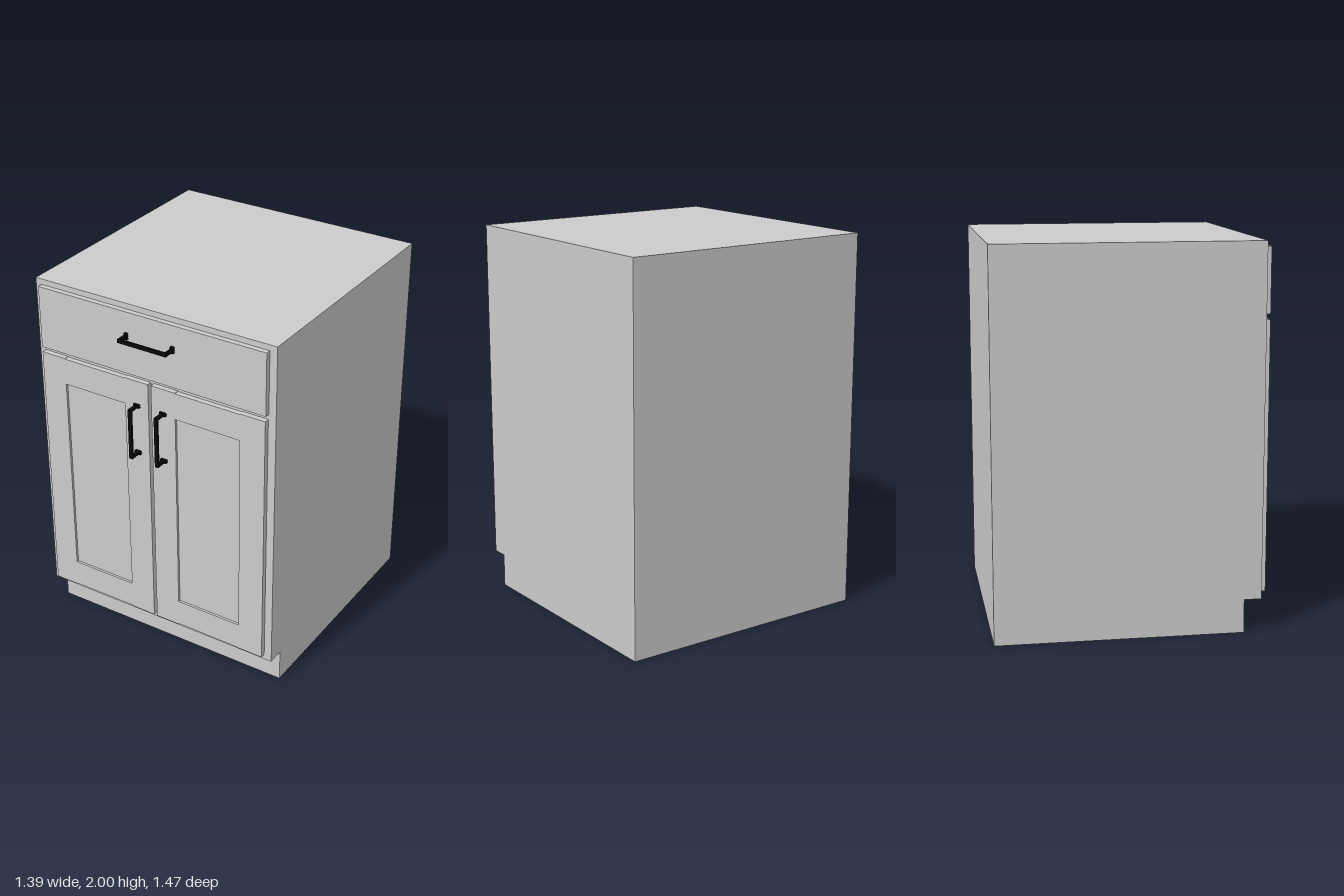
import * as THREE from 'three';

const grey = new THREE.MeshStandardMaterial({ color: 0xcccccc });
const black = new THREE.MeshStandardMaterial({ color: 0x0a0a0a });

const FACE = 0.636;   // front plane of the carcass
const FRONT = 0.664;  // front plane of doors and drawer

// Box given by its limits on each axis
function slab(name, [x0, x1], [y0, y1], [z0, z1], material = grey) {
  const mesh = new THREE.Mesh(new THREE.BoxGeometry(x1 - x0, y1 - y0, z1 - z0), material);
  mesh.position.set((x0 + x1) / 2, (y0 + y1) / 2, (z0 + z1) / 2);
  mesh.name = name;
  return mesh;
}

// Side profile with the toe kick, extruded across the width
function carcass() {
  const shape = new THREE.Shape();
  [[-0.734, 0], [0.546, 0], [0.546, 0.175], [FACE, 0.175], [FACE, 2], [-0.734, 2]]
    .forEach(([z, y], i) => (i ? shape.lineTo(-z, y) : shape.moveTo(-z, y)));
  const geometry = new THREE.ExtrudeGeometry(shape, { depth: 1.39, bevelEnabled: false });
  geometry.translate(0, 0, -0.695).rotateY(Math.PI / 2);
  const mesh = new THREE.Mesh(geometry, grey);
  mesh.name = 'carcass';
  return mesh;
}

// Framed door: two full-height stiles, two rails and a recessed panel
function door(name, x0, x1) {
  const group = new THREE.Group();
  group.name = name;
  const y0 = 0.205, y1 = 1.607, stile = 0.14, z = [FACE, FRONT];
  const a = x0 + stile, b = x1 - stile;
  group.add(
    slab('outerStile', [x0, a], [y0, y1], z),
    slab('innerStile', [b, x1], [y0, y1], z),
    slab('bottomRail', [a, b], [y0 + 0.003, 0.355], z),
    slab('topRail', [a, b], [1.46, y1 - 0.003], z),
    slab('recessedPanel', [a, b], [0.355, 1.46], [FACE, FRONT - 0.013]),
  );
  return group;
}

// Bar pull along x: grip, two posts and their wider feet
function handle(name, x, y, vertical) {
  const group = new THREE.Group();
  group.name = name;
  group.add(slab('grip', [-0.14, 0.14], [-0.01, 0.01], [0.058, 0.07], black));
  for (const s of [-1, 1]) {
    const c = s * 0.134;
    group.add(
      slab('post', [c - 0.006, c + 0.006], [-0.01, 0.01], [0, 0.06], black),
      slab('foot', [c - 0.009, c + 0.009], [-0.017, 0.017], [0, 0.014], black),
    );
  }
  group.position.set(x, y, FRONT);
  if (vertical) group.rotation.z = Math.PI / 2;
  return group;
}

export function createModel() {
  const model = new THREE.Group();
  model.name = 'baseCabinet';
  model.add(
    carcass(),
    slab('drawerFront', [-0.661, 0.655], [1.635, 1.97], [FACE, FRONT]),
    door('rightDoor', -0.661, -0.014),
    door('leftDoor', 0.004, 0.653),
    handle('drawerHandle', 0.004, 1.843, false),
    handle('rightDoorHandle', -0.08, 1.338, true),
    handle('leftDoorHandle', 0.075, 1.338, true),
  );
  return model;
}
